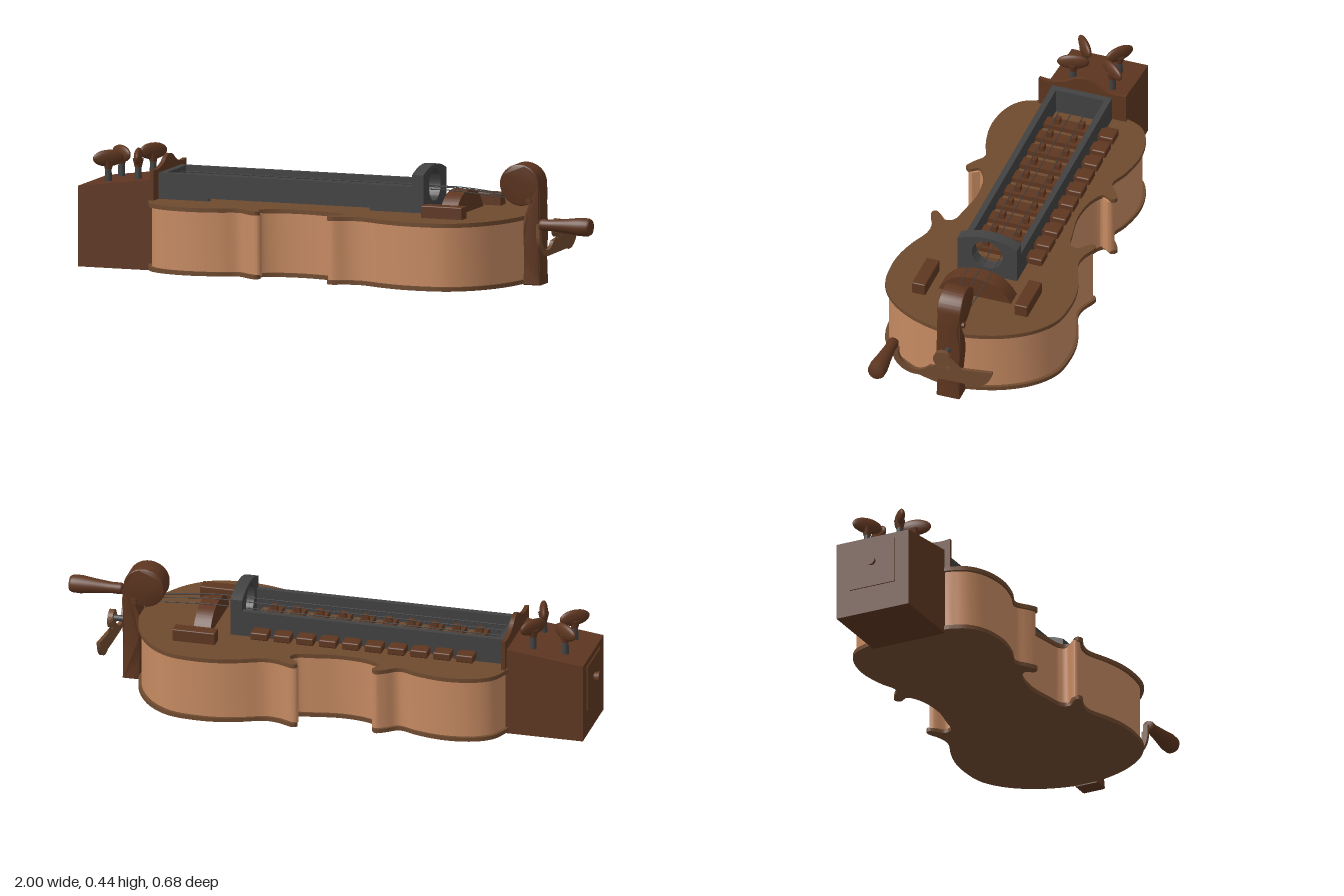
import * as THREE from 'three';
import { toCreasedNormals } from 'three/addons/utils/BufferGeometryUtils.js';
import { ParametricGeometry } from 'three/addons/geometries/ParametricGeometry.js';
import { RoundedBoxGeometry } from 'three/addons/geometries/RoundedBoxGeometry.js';

const mat = (color, side = THREE.FrontSide) => new THREE.MeshStandardMaterial({ color, side });
const V = (x, y, z) => new THREE.Vector3(x, y, z);

export function createModel() {
  const model = new THREE.Group();
  const ribWood = mat(0xc68a62), topWood = mat(0x6f4a2f), darkWood = mat(0x5e3620), metal = mat(0x424242);
  const backWood = mat(0x6f4a2f, THREE.DoubleSide);

  const add = (name, geo, material, parent = model) => {
    const m = new THREE.Mesh(geo, material);
    m.name = name;
    parent.add(m);
    return m;
  };
  // box given by its min and max corners
  const box = (name, x0, x1, y0, y1, z0, z1, material, r = 0) => {
    const s = [x1 - x0, y1 - y0, z1 - z0];
    const m = add(name, r ? new RoundedBoxGeometry(...s, 2, r) : new THREE.BoxGeometry(...s), material);
    m.position.set((x0 + x1) / 2, (y0 + y1) / 2, (z0 + z1) / 2);
    return m;
  };
  // cylinder lying along x
  const rod = (name, x0, x1, y, z, r0, r1, material) => {
    const m = add(name, new THREE.CylinderGeometry(r1, r0, x1 - x0, 24), material);
    m.rotation.z = -Math.PI / 2;
    m.position.set((x0 + x1) / 2, y, z);
    return m;
  };
  const extrude = (shape, depth) => new THREE.ExtrudeGeometry(shape, { depth, bevelEnabled: false, curveSegments: 24 });
  // cross-section drawn in (z, y), extruded along x
  const section = (name, shape, x0, x1, material) => {
    const g = extrude(shape, x1 - x0).rotateY(Math.PI / 2);
    add(name, toCreasedNormals(g, 0.6), material).position.x = x0;
  };

  // Body: half outline mirrored into a closed fiddle shape
  const half = [[-0.70, 0.16], [-0.67, 0.225], [-0.61, 0.265], [-0.505, 0.282], [-0.40, 0.265], [-0.325, 0.24],
    [-0.28, 0.27], [-0.248, 0.285], [-0.233, 0.268], [-0.25, 0.235], [-0.20, 0.203], [-0.10, 0.19], [0, 0.205],
    [0.063, 0.22], [0.075, 0.25], [0.042, 0.283], [0.035, 0.30], [0.05, 0.31], [0.11, 0.287], [0.16, 0.283],
    [0.245, 0.315], [0.32, 0.335], [0.40, 0.34], [0.50, 0.325], [0.58, 0.27], [0.64, 0.185], [0.675, 0.09]];
  const outline = [...half, [0.688, 0], ...half.map(([x, z]) => [x, -z]).reverse()];
  const curve = new THREE.CatmullRomCurve3(outline.map(([x, z]) => V(x, z, 0)), false, 'centripetal').getPoints(220);
  const slab = (name, sx, sz, top, depth, material) => {
    const shape = new THREE.Shape(curve.map(p => new THREE.Vector2(p.x * sx, p.y * sz)));
    const g = extrude(shape, depth).rotateX(Math.PI / 2);
    add(name, toCreasedNormals(g, 0.6), material).position.y = top;
  };
  slab('topPlate', 1, 1, 0.256, 0.015, topWood);
  slab('ribs', 0.985, 0.965, 0.245, 0.222, ribWood);
  slab('backPlate', 1, 1, 0.027, 0.015, topWood);

  // Shallow dome under the back plate
  const width = new THREE.SplineCurve([[-0.69, 0.1], [-0.6, 0.255], [-0.5, 0.27], [-0.3, 0.215], [-0.1, 0.175],
    [0.1, 0.205], [0.3, 0.315], [0.4, 0.33], [0.58, 0.255], [0.68, 0.02]].map(p => new THREE.Vector2(...p)));
  add('backDome', new ParametricGeometry((u, v, t) => {
    const p = width.getPoint(u), k = v * 2 - 1, end = Math.pow(Math.abs(u * 2 - 1), 4);
    t.set(p.x, 0.003 + 0.0097 * Math.max(k * k, end), p.y * k);
  }, 40, 16), backWood);

  // Peg box with sloping lid, end panel and knob
  const boxSide = new THREE.Shape([[-0.975, 0.002], [-0.69, 0.002], [-0.69, 0.328], [-0.975, 0.292]].map(p => new THREE.Vector2(...p)));
  add('pegBox', extrude(boxSide, 0.288), darkWood).position.z = -0.144;
  box('endPanel', -0.98, -0.97, 0.10, 0.27, -0.09, 0.09, darkWood);
  rod('endKnob', -1, -0.975, 0.195, 0, 0.021, 0.013, darkWood);

  // Head board with a wavy top edge
  const board = new THREE.Shape();
  board.moveTo(-0.165, 0.25);
  board.lineTo(0.165, 0.25);
  board.lineTo(0.165, 0.367);
  board.quadraticCurveTo(0.10, 0.355, 0.05, 0.385);
  board.quadraticCurveTo(0, 0.425, -0.05, 0.385);
  board.quadraticCurveTo(-0.10, 0.355, -0.165, 0.367);
  section('headBoard', board, -0.695, -0.68, darkWood);

  // Tuning pegs: x, z, and heading of the flat head
  [[-0.89, -0.065, -0.65], [-0.775, -0.08, 0.92], [-0.89, 0.065, 0.68], [-0.775, 0.068, -1.3]].forEach(([x, z, a]) => {
    const peg = new THREE.Group();
    peg.name = 'tuningPeg';
    add('pegShaft', new THREE.CylinderGeometry(0.011, 0.014, 0.09, 16), metal, peg).position.y = 0.02;
    add('pegCollar', new THREE.CylinderGeometry(0.02, 0.013, 0.03, 16), darkWood, peg).position.y = 0.06;
    const head = add('pegHead', new THREE.SphereGeometry(1, 24, 14), darkWood, peg);
    head.scale.set(0.058, 0.03, 0.015);
    head.position.y = 0.083;
    peg.position.set(x, x < -0.8 ? 0.302 : 0.315, z);
    peg.rotation.y = a;
    model.add(peg);
  });

  // Key box: side walls raised on feet, end rail, arched end plate with round opening
  const wall = new THREE.Shape([[-0.68, 0.25], [-0.49, 0.25], [-0.49, 0.266], [0.125, 0.266], [0.125, 0.25],
    [0.30, 0.25], [0.30, 0.35], [-0.68, 0.35]].map(p => new THREE.Vector2(...p)));
  for (const z of [-0.113, 0.091]) add('keyBoxWall', extrude(wall, 0.022), metal).position.z = z;
  box('keyBoxEnd', -0.68, -0.655, 0.25, 0.35, -0.1, 0.1, metal);
  const arch = new THREE.Shape();
  arch.moveTo(-0.113, 0.25);
  arch.lineTo(0.113, 0.25);
  arch.lineTo(0.113, 0.392);
  arch.quadraticCurveTo(0, 0.445, -0.113, 0.392);
  arch.holes.push(new THREE.Path().absarc(0, 0.345, 0.058, 0, Math.PI * 2, true));
  section('keyBoxArch', arch, 0.287, 0.33, metal);

  // Keys: sliding bar, finger button and two tangents each
  for (let i = 0; i < 10; i++) {
    const x = -0.547 + i * 0.084;
    box('keyBar', x - 0.024, x + 0.024, 0.275, 0.295, -0.13, 0.092, darkWood);
    box('keyButton', x - 0.032, x + 0.032, 0.272, 0.30, -0.175, -0.123, darkWood, 0.005);
    box('lowerKeyBar', x + 0.03, x + 0.054, 0.27, 0.282, -0.092, 0.092, topWood);
    for (const z of [-0.045, 0.045]) box('tangent', x - 0.012, x + 0.012, 0.295, 0.318, z - 0.01, z + 0.01, darkWood);
  }

  // Arched bridge and two side blocks
  const bridge = new THREE.Shape();
  bridge.moveTo(-0.14, 0.25);
  bridge.lineTo(0.14, 0.25);
  bridge.quadraticCurveTo(0.105, 0.315, 0.055, 0.326);
  bridge.quadraticCurveTo(0, 0.342, -0.055, 0.326);
  bridge.quadraticCurveTo(-0.105, 0.315, -0.14, 0.25);
  section('bridge', bridge, 0.40, 0.462, darkWood);
  for (const s of [-1, 1]) box('sideBlock', 0.36, 0.517, 0.25, 0.30, s * 0.193 - 0.025, s * 0.193 + 0.025, darkWood, 0.004);

  // Tail post ending in a round scroll, its sides gently waisted
  const post = new THREE.Shape();
  post.moveTo(0.683, 0.008);
  for (let y = 0.03; y < 0.25; y += 0.02) post.lineTo(0.683, y);
  post.quadraticCurveTo(0.69, 0.27, 0.703, 0.302);
  post.absarc(0.668, 0.365, 0.075, -Math.PI / 3, 0, true);
  for (let y = 0.34; y > 0.01; y -= 0.02) post.lineTo(0.746, y);
  post.lineTo(0.746, 0.008);
  const postGeo = new THREE.ExtrudeGeometry(post, { depth: 0.07, bevelThickness: 0.006, bevelSize: 0.004, bevelOffset: -0.004, bevelSegments: 2, curveSegments: 32 });
  postGeo.translate(0, 0, -0.035);
  const pos = postGeo.attributes.position;
  for (let i = 0; i < pos.count; i++) pos.setZ(i, pos.getZ(i) * (1 + 0.1 * Math.cos(pos.getY(i) * Math.PI * 2 / 0.2)));
  add('tailPost', toCreasedNormals(postGeo, 0.6), darkWood);
  const pin = add('stringPin', new THREE.CylinderGeometry(0.011, 0.011, 0.096, 16), darkWood);
  pin.rotation.x = Math.PI / 2;
  pin.position.set(0.705, 0.311, 0);

  // Strings from the head board over the bridge to the post
  for (const k of [-1, 0, 1]) {
    const path = new THREE.CurvePath();
    const pts = [V(-0.68, 0.335, k * 0.045), V(0.43, 0.334, k * 0.045), V(0.69, 0.311, k * 0.03)];
    if (k === 0) pts[1].y = 0.337;
    path.add(new THREE.LineCurve3(pts[0], pts[1]));
    path.add(new THREE.LineCurve3(pts[1], pts[2]));
    add('string', new THREE.TubeGeometry(path, 24, 0.002, 6), metal);
  }

  // Crank: axle, hub, curved flat arm and turned handle
  rod('crankAxle', 0.74, 0.79, 0.22, 0, 0.011, 0.011, metal);
  rod('crankHub', 0.787, 0.806, 0.215, 0.003, 0.033, 0.033, topWood);
  const arm = new THREE.Shape();
  arm.absarc(0.105, 0.206, 0.081, -0.05, -Math.PI - 0.35, true);
  // inner edge runs back toward the hub
  const inner = [[-0.5, 0.062], [0, 0.06]];
  arm.setFromPoints([
    ...Array.from({ length: 25 }, (_, i) => [0.081, i / 24]),
    ...Array.from({ length: 25 }, (_, i) => [inner[1][1], 1 - i / 24])
  ].map(([r, t]) => {
    const a = -0.6 - t * (Math.PI - 0.35);
    return new THREE.Vector2(-0.105 + Math.cos(a) * r * 1.05, 0.208 + Math.sin(a) * r);
  }));
  section('crankArm', arm, 0.79, 0.803, topWood);
  box('crankArmTip', 0.79, 0.803, 0.20, 0.25, 0.172, 0.19, topWood);
  const handle = [[0, 0], [0.018, 0], [0.021, 0.01], [0.02, 0.04], [0.026, 0.1], [0.033, 0.155], [0.032, 0.185], [0.026, 0.195], [0, 0.195]];
  const grip = add('crankHandle', new THREE.LatheGeometry(handle.map(p => new THREE.Vector2(...p)), 28), darkWood);
  grip.rotation.z = -Math.PI / 2;
  grip.position.set(0.803, 0.25, 0.185);

  return model;
}
